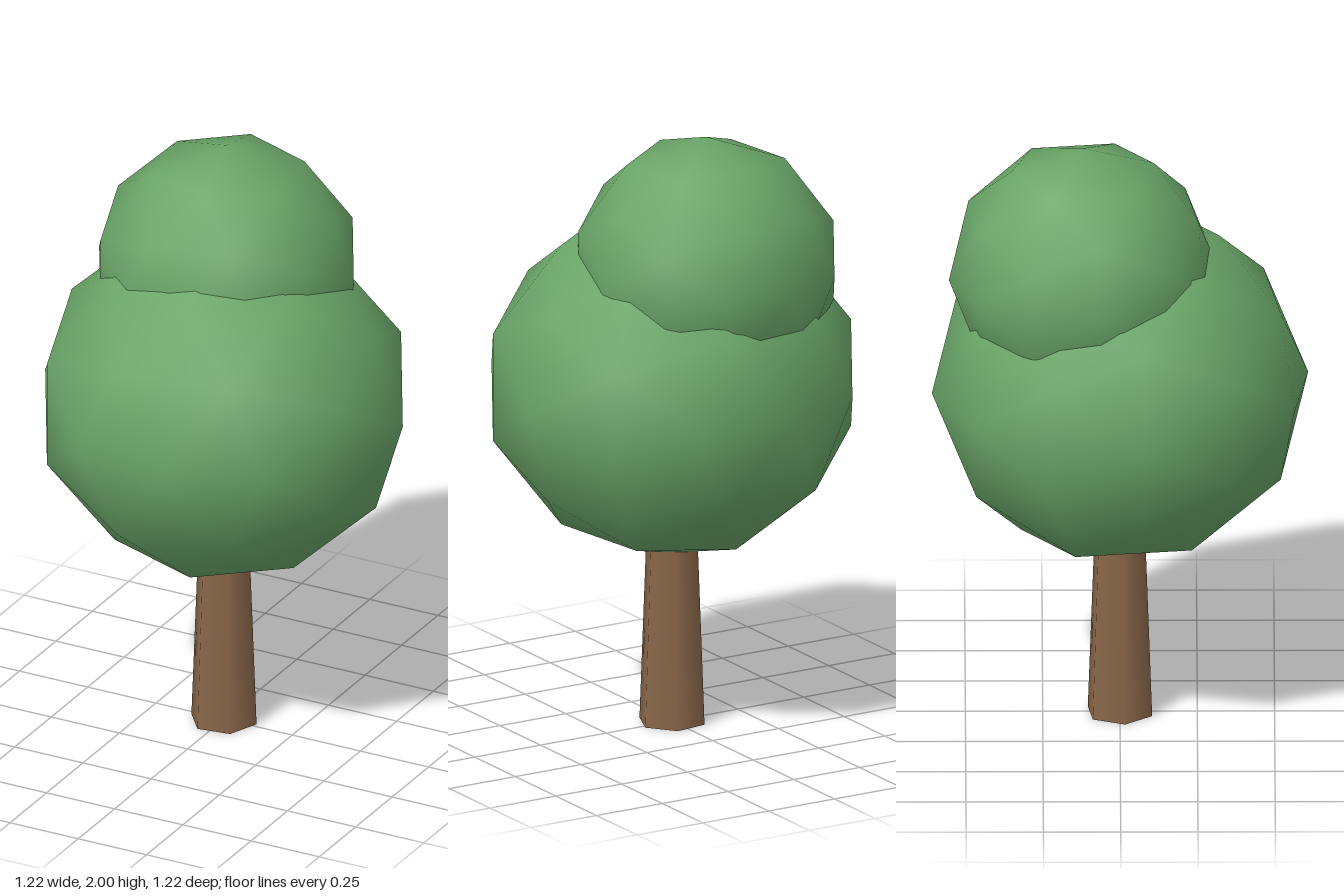
import * as THREE from 'three';

const leafGreen = new THREE.MeshStandardMaterial({ color: 0x69a467 });
leafGreen.name = 'leafGreen';
const barkBrown = new THREE.MeshStandardMaterial({ color: 0x8a6749 });
barkBrown.name = 'barkBrown';

// The whole tree shares one turn about its upright axis
const TURN = THREE.MathUtils.degToRad(98.2);

function addPart(group, name, geometry, material, x, y, z) {
  const mesh = new THREE.Mesh(geometry, material);
  mesh.name = name;
  mesh.position.set(x, y, z);
  mesh.rotation.y = TURN;
  group.add(mesh);
  return mesh;
}

// Low-poly ball with smooth normals, slightly squashed in height
function addFoliage(group, name, radius, squash, x, y, z) {
  const ball = addPart(group, name, new THREE.IcosahedronGeometry(radius, 1), leafGreen, x, y, z);
  ball.scale.y = squash;
}

export function createModel() {
  const tree = new THREE.Group();
  tree.name = 'tree';

  // Tapered six-sided trunk, its top hidden inside the foliage
  const height = 0.76;
  addPart(tree, 'trunk', new THREE.CylinderGeometry(0.083, 0.112, height, 6), barkBrown, 0, height / 2, 0);

  // Large crown and the smaller one set back on top of it
  addFoliage(tree, 'lowerFoliage', 0.615, 0.95, 0, 1.155, 0);
  addFoliage(tree, 'upperFoliage', 0.438, 0.995, -0.055, 1.565, -0.12);

  return tree;
}
